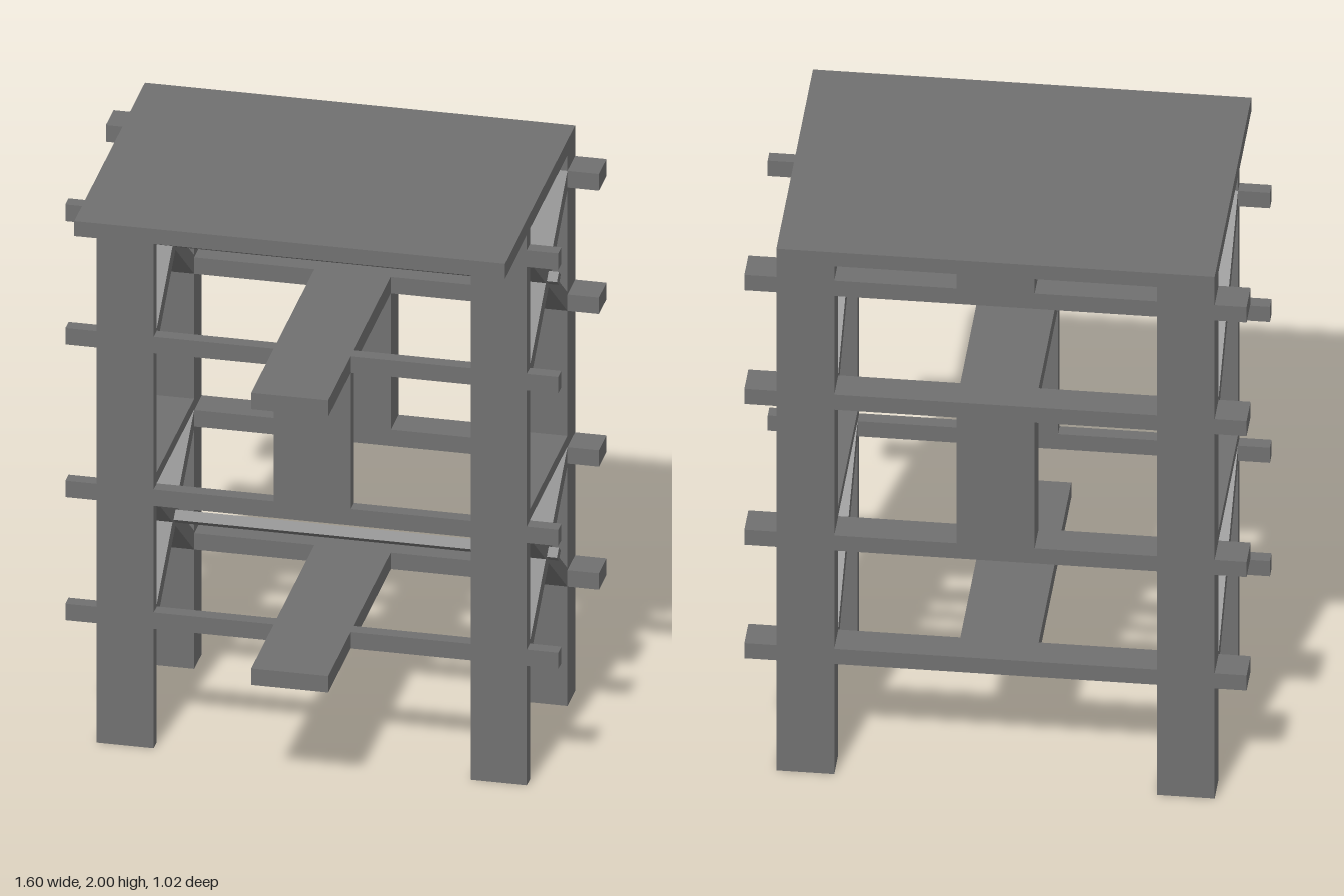
import * as THREE from 'three';

const material = new THREE.MeshStandardMaterial({ color: 0x707070, flatShading: true });

// Depth ranges of the two trestle frames, and the inner and outer edge of the legs
const FRONT = [0.14, 0.185];
const BACK = [-0.51, -0.4];
const LEG = [0.515, 0.7];
const RAILS = [[0.422, 0.48], [0.857, 0.915], [1.397, 1.455], [1.833, 1.892]];

export function createModel() {
  const group = new THREE.Group();

  const add = (name, geometry) => {
    const mesh = new THREE.Mesh(geometry, material);
    mesh.name = name;
    group.add(mesh);
    return mesh;
  };

  // Box given by its range on each axis
  const block = (name, [x0, x1], [y0, y1], [z0, z1]) =>
    add(name, new THREE.BoxGeometry(x1 - x0, y1 - y0, z1 - z0))
      .position.set((x0 + x1) / 2, (y0 + y1) / 2, (z0 + z1) / 2);

  // Prism with a [z, y] outline, running along x
  const prism = (name, outline, [x0, x1]) => {
    const shape = new THREE.Shape(outline.map(([z, y]) => new THREE.Vector2(-z, y)));
    const geometry = new THREE.ExtrudeGeometry(shape, { depth: x1 - x0, bevelEnabled: false });
    geometry.rotateY(Math.PI / 2).translate(x0, 0, 0);
    add(name, geometry);
  };

  // Top board
  block('topBoard', [-0.7, 0.7], [1.947, 2], [-0.51, 0.51]);

  // Front and back frames: rails running through the legs, with a centre post
  for (const [side, depth] of [['front', FRONT], ['back', BACK]]) {
    for (const y of RAILS) block(side + 'Rail', [-0.802, 0.802], y, depth);
    block(side + 'CentrePost', [-0.125, 0.125], [0.915, 1.397], depth);
    block(side + 'LegLeft', LEG, [0, 1.947], depth);
    block(side + 'LegRight', [-LEG[1], -LEG[0]], [0, 1.947], depth);
  }
  block('topSpacer', [-0.125, 0.125], [1.892, 1.947], BACK);

  // Centre boards reaching out to the front
  for (const y of [RAILS[0], RAILS[2]]) block('centreBoard', [-0.125, 0.125], y, [-0.51, 0.51]);

  // Side boards and crossed braces between front and back legs
  const zf = FRONT[0], zb = BACK[1], thick = 0.066;
  for (const x of [LEG, [-LEG[1], -LEG[0]]]) {
    block('sideBoard', x, [0.917, 0.955], [zb, zf]);
    for (const [[low], [, high]] of [[RAILS[0], RAILS[1]], [RAILS[2], RAILS[3]]]) {
      for (const [za, zc] of [[zf, zb], [zb, zf]]) {
        prism('crossBrace', [[za, low], [za, low + thick], [zc, high], [zc, high - thick]], x);
      }
    }
  }

  // Diamond-section rods through the brace crossings
  for (const y of [0.67, 1.645]) {
    const z = (zf + zb) / 2;
    prism('crossRod', [[z - 0.028, y], [z, y + 0.023], [z + 0.028, y], [z, y - 0.023]], [-0.733, 0.733]);
  }

  return group;
}
